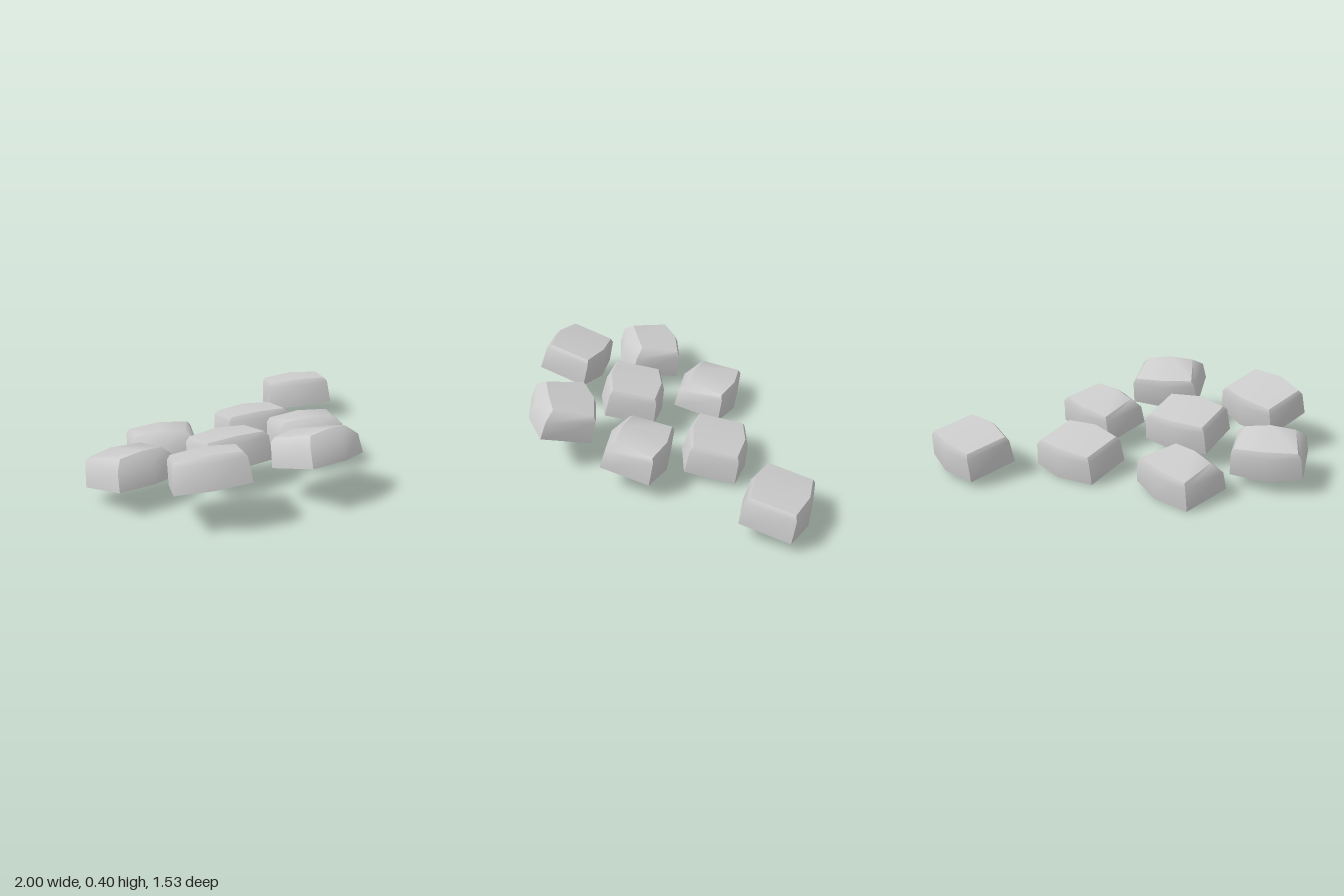
import * as THREE from 'three';
import { toCreasedNormals } from 'three/addons/utils/BufferGeometryUtils.js';

const THICK = 0.16;

// Back half of the six-sided outline; the front half is the same turned by half a circle
const HALF_OUTLINE = [[-0.165, -0.175], [0.045, -0.175], [0.225, -0.1]];

// Centre of the underside, turn, slope towards the front, and how far the front top edge is rounded
const STONES = [
  { name: 'outlyingStone', at: [0.76, 0.07, -0.55], turn: 0.22, slope: 0.17, round: 0.2 },
  { name: 'leftStone', at: [-0.775, 0.103, 0.075], turn: 0, slope: 0.2, round: 0.8, mirror: true },
  { name: 'backLeftStone', at: [-0.4, 0.037, -0.277], turn: 0.21, slope: 0.17, round: 0.8 },
  { name: 'backRightStone', at: [0.225, 0.037, -0.27], turn: 0, slope: 0.17, round: 0.2 },
  { name: 'centreStone', at: [-0.235, 0.123, 0.185], turn: -0.1, slope: 0.19, round: 0.2 },
  { name: 'rightStone', at: [0.305, 0.108, 0.165], turn: 0.16, slope: 0.2, round: 0.7 },
  { name: 'frontLeftStone', at: [-0.57, 0.2, 0.525], turn: 0.21, slope: 0.26, round: 0.2 },
  { name: 'frontRightStone', at: [0.0625, 0.205, 0.587], turn: 0, slope: 0.28, round: 0.8, mirror: true },
];

function stoneGeometry({ turn, slope, round, mirror }) {
  const half = HALF_OUTLINE.map(([x, z]) => new THREE.Vector2(mirror ? -x : x, z));
  if (mirror) half.reverse();
  const outline = [...half, ...half.map((p) => p.clone().negate())];
  const origin = new THREE.Vector2();
  const bottom = outline.map((p) => {
    p.rotateAround(origin, turn);
    return new THREE.Vector3(p.x, slope * p.y, p.y);
  });

  // A ring of the outline pulled inwards and lifted along the stone's own up direction
  const up = new THREE.Vector3(0, 1, -slope).normalize();
  const ring = (inset, lift) => bottom.map((p, i) =>
    p.clone().setLength(p.length() - inset(i)).addScaledVector(up, lift(i)));
  const roundAt = (i) => (i < 3 ? 0.2 : round);
  const ridge = (i) => (i % 3 === 1 ? 0.012 : 0);
  const shoulder = ring(() => 0.012, (i) => THICK - 0.015 - 0.05 * roundAt(i));
  const top = ring((i) => 0.02 + 0.07 * roundAt(i), (i) => THICK + ridge(i));

  const index = [];
  // Underside and top, each as two quads meeting along the middle
  for (const [a, b, c, d] of [[0, 1, 4, 5], [1, 2, 3, 4]]) {
    index.push(a, b, c, a, c, d);
    index.push(a + 12, c + 12, b + 12, a + 12, d + 12, c + 12);
  }
  // Side walls and rounded shoulder
  for (const r of [0, 6]) {
    for (let i = 0; i < 6; i++) {
      const a = r + i;
      const b = r + (i + 1) % 6;
      index.push(a, a + 6, b, b, a + 6, b + 6);
    }
  }
  const geometry = new THREE.BufferGeometry().setFromPoints([...bottom, ...shoulder, ...top]);
  geometry.setIndex(index);
  return toCreasedNormals(geometry, 0.75);
}

export function createModel() {
  const group = new THREE.Group();
  group.name = 'steppingStones';
  const material = new THREE.MeshStandardMaterial({ color: 0xcccccc });
  for (const stone of STONES) {
    const mesh = new THREE.Mesh(stoneGeometry(stone), material);
    mesh.name = stone.name;
    mesh.position.set(...stone.at);
    group.add(mesh);
  }
  return group;
}
